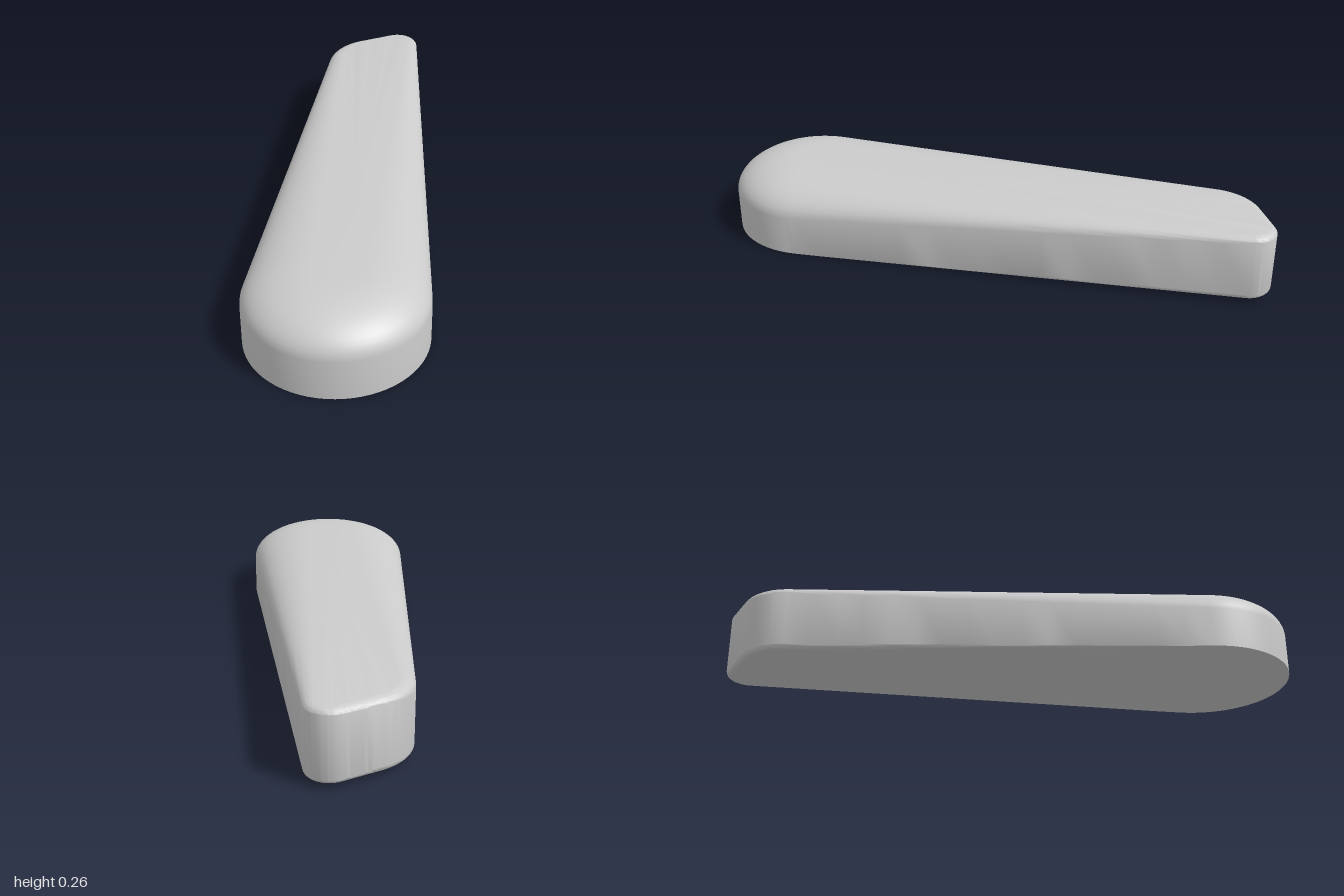
import * as THREE from 'three';
import { toCreasedNormals } from 'three/addons/utils/BufferGeometryUtils.js';

const TOP = 0.257;
const lerp = THREE.MathUtils.lerp;
const clamp01 = (v) => THREE.MathUtils.clamp(v, 0, 1);

// Plan outline: three circles joined by their outer tangents, as x, z and outward angle
function planOutline() {
  const circles = [
    { x: 0, z: 0.7, r: 0.3, steps: 36 },        // broad front
    { x: -0.06, z: -0.747, r: 0.2, steps: 12 }, // rear corner
    { x: 0, z: -0.92, r: 0.08, steps: 18 },     // tip
  ];
  const tangent = (a, b) => {
    const dx = b.x - a.x, dz = b.z - a.z;
    return Math.atan2(dz, dx) - Math.acos((a.r - b.r) / Math.hypot(dx, dz));
  };
  const points = [];
  circles.forEach((c, i) => {
    const next = circles[(i + 1) % 3];
    const start = tangent(circles[(i + 2) % 3], c);
    let end = tangent(c, next);
    while (end < start) end += Math.PI * 2;
    while (end - start > Math.PI * 2) end -= Math.PI * 2;
    for (let k = 0; k <= c.steps; k++) {
      const a = lerp(start, end, k / c.steps);
      points.push({ x: c.x + c.r * Math.cos(a), z: c.z + c.r * Math.sin(a), a });
    }
    // Straight flank up to the next circle
    const p = points[points.length - 1];
    const qx = next.x + next.r * Math.cos(end), qz = next.z + next.r * Math.sin(end);
    for (let k = 1; k < 16; k++) {
      points.push({ x: lerp(p.x, qx, k / 16), z: lerp(p.z, qz, k / 16), a: end });
    }
  });
  return points;
}

// Underside is flat at the front and rises slightly towards the tip
const floorAt = (z) => 0.016 * clamp01((0.6 - z) / 1.6);

// Vertical section at one outline point, from underside centre to top centre
function section({ x, z, a }) {
  const front = clamp01((z + 1) / 1.7);
  const topInset = lerp(0.028, 0.22, front), topDrop = lerp(0.02, 0.117, front);
  const lowBevel = 0.022 * clamp01((0.6 - z) / 1.6);
  const at = (inset, y) => [x - inset * Math.cos(a), y, z - inset * Math.sin(a)];
  const column = [[0, 0, 0.6]];
  for (let k = 0; k <= 5; k++) {
    const t = (k / 5) * Math.PI / 2;
    const p = at(lowBevel * (1 - Math.sin(t)), 0);
    p[1] = floorAt(p[2]) + lowBevel * (1 - Math.cos(t));
    column.push(p);
  }
  for (let k = 0; k <= 12; k++) {
    const t = (k / 12) * Math.PI / 2;
    column.push(at(topInset * (1 - Math.cos(t)), TOP - topDrop * (1 - Math.sin(t))));
  }
  column.push([0, TOP, 0.3]);
  return column;
}

export function createModel() {
  const columns = planOutline().map(section);
  const n = columns.length, m = columns[0].length;
  const index = [];
  for (let i = 0; i < n; i++) {
    for (let j = 0; j < m - 1; j++) {
      const a = i * m + j, b = ((i + 1) % n) * m + j;
      if (j < m - 2) index.push(a, a + 1, b + 1);
      if (j > 0) index.push(a, b + 1, b);
    }
  }
  const geometry = new THREE.BufferGeometry();
  geometry.setAttribute('position', new THREE.Float32BufferAttribute(columns.flat(2), 3));
  geometry.setIndex(index);

  const body = new THREE.Mesh(
    toCreasedNormals(geometry, 0.7),
    new THREE.MeshStandardMaterial({ color: 0xcccccc })
  );
  body.name = 'taperedBody';
  const group = new THREE.Group();
  group.name = 'taperedHandle';
  group.add(body);
  return group;
}
